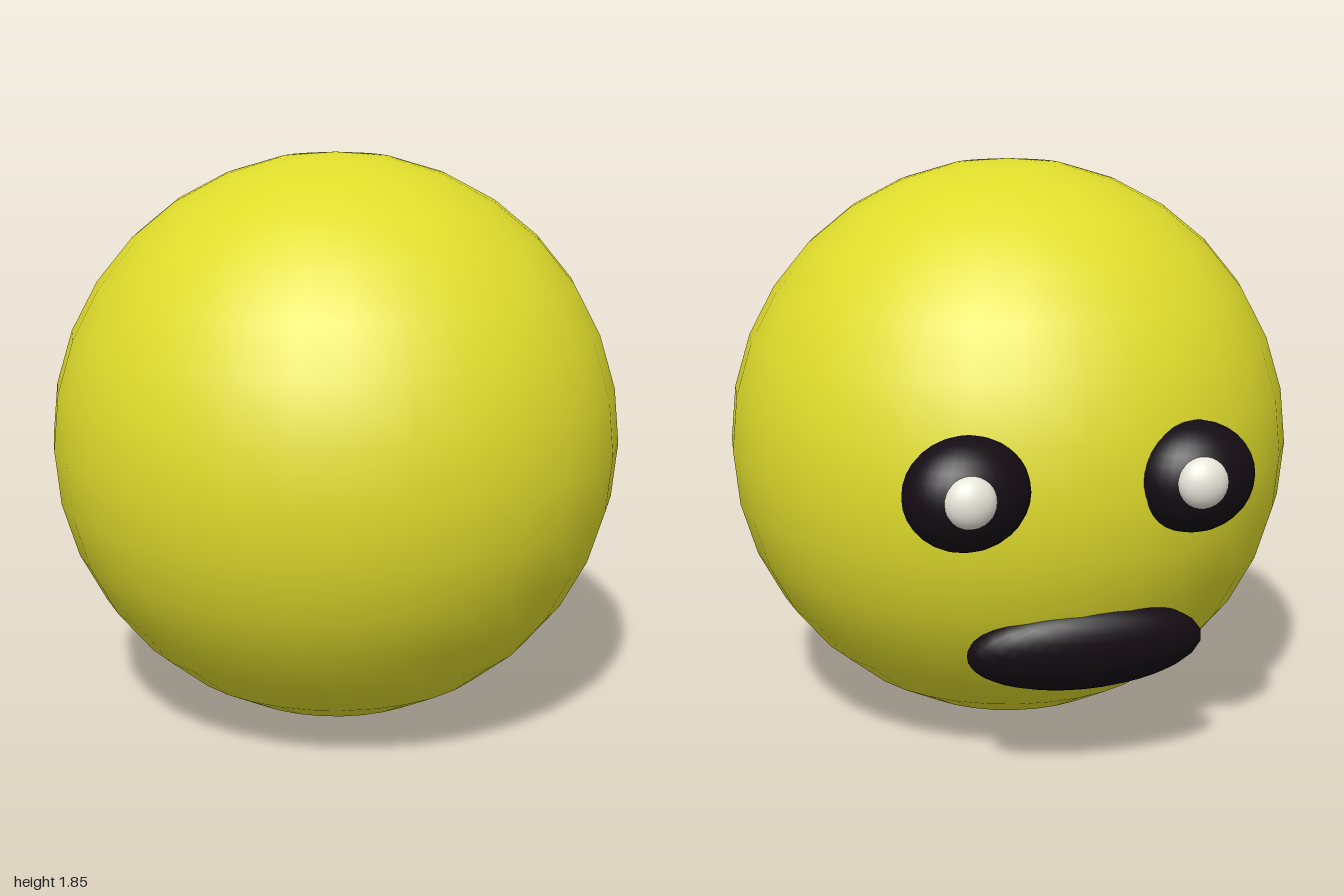
import * as THREE from 'three';

const mat = (color) => new THREE.MeshStandardMaterial({ color });

export function createModel() {
  const group = new THREE.Group();
  const yellow = mat(0xe0dd2c), black = mat(0x140d14), white = mat(0xe8e6da);
  const ball = new THREE.SphereGeometry(1, 32, 16);

  // Every part is a stretched, turned ball
  function addBall(name, material, radii, position, rotation = [0, 0, 0]) {
    const mesh = new THREE.Mesh(ball, material);
    mesh.name = name;
    mesh.scale.set(...radii);
    mesh.position.set(...position);
    mesh.rotation.set(...rotation);
    group.add(mesh);
  }

  // Round head
  addBall('head', yellow, [0.925, 0.925, 0.925], [0, 0.925, 0.073]);

  // Bulging eyes with highlights, slightly uneven in depth
  const eyes = [
    { side: 'left', eye: [0.362, 0.98, -0.82], glint: [0.382, 0.99, -0.945] },
    { side: 'right', eye: [-0.352, 0.97, -0.768], glint: [-0.33, 0.985, -0.9] },
  ];
  for (const { side, eye, glint } of eyes) {
    addBall(side + 'Eye', black, [0.193, 0.17, 0.15], eye, [0, 0.16, 0]);
    addBall(side + 'EyeHighlight', white, [0.078, 0.078, 0.058], glint);
  }

  // Wide mouth, tilted to lie along the lower curve of the head
  addBall('mouth', black, [0.375, 0.16, 0.115], [-0.045, 0.43, -0.68], [-0.576, 0, 0]);

  return group;
}
